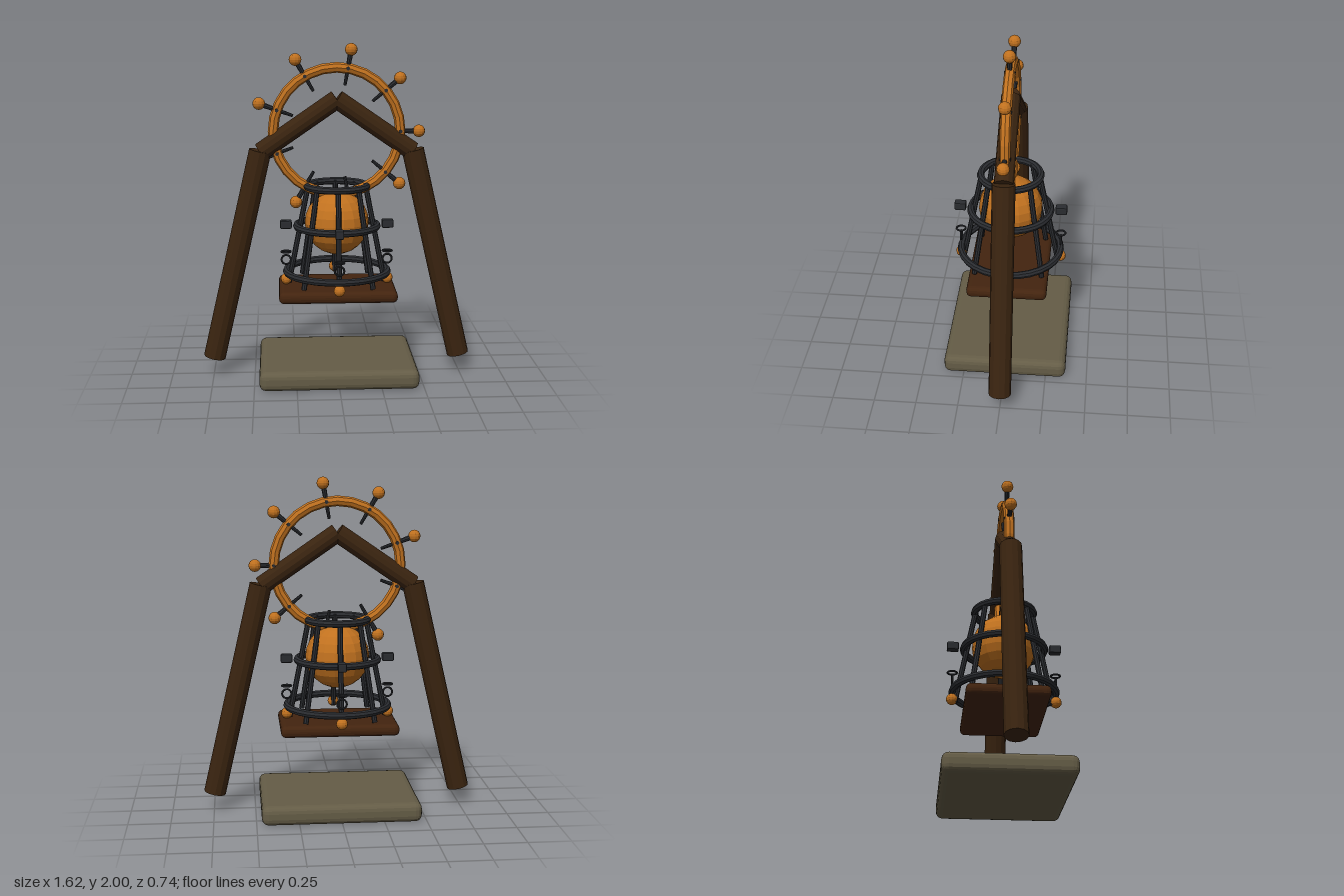
import * as THREE from 'three';
import { RoundedBoxGeometry } from 'three/addons/geometries/RoundedBoxGeometry.js';

const mat = (name, color, flatShading = true) => {
  const m = new THREE.MeshStandardMaterial({ color, flatShading });
  m.name = name;
  return m;
};

export function createModel() {
  const timber = mat('dark timber', 0x3a2410);
  const plank = mat('brown plank', 0x43240f);
  const stone = mat('grey stone', 0x645c46);
  const iron = mat('black iron', 0x2a2c30);
  const brass = mat('orange brass', 0xc0711f);

  const model = new THREE.Group();
  model.name = 'wheelFrameWithCage';
  const V = (x, y, z = 0) => new THREE.Vector3(x, y, z);

  const add = (name, geo, material, pos = V(0, 0), parent = model) => {
    const mesh = new THREE.Mesh(geo, material);
    mesh.name = name;
    mesh.position.copy(pos);
    parent.add(mesh);
    return mesh;
  };

  // Round bar from a to b
  const rod = (name, a, b, ra, rb, sides, material, parent = model) => {
    const d = b.clone().sub(a);
    const mesh = add(name, new THREE.CylinderGeometry(rb, ra, d.length(), sides), material,
      a.clone().add(b).multiplyScalar(0.5), parent);
    mesh.quaternion.setFromUnitVectors(V(0, 1), d.normalize());
    return mesh;
  };

  const ring = (name, R, r, material, pos, parent, flat) => {
    const mesh = add(name, new THREE.TorusGeometry(R, r, 8, R > 0.1 ? 28 : 14), material, pos, parent);
    if (flat) mesh.rotation.x = Math.PI / 2;
    return mesh;
  };

  // Slabs
  add('base', new RoundedBoxGeometry(0.94, 0.115, 0.74, 2, 0.04), stone, V(0, 0.0575));
  add('platform', new RoundedBoxGeometry(0.7, 0.07, 0.48, 2, 0.03), plank, V(0, 0.525));

  // Leaning posts and roof beams
  for (const s of [1, -1]) {
    const side = s > 0 ? 'left' : 'right';
    rod(side + 'Post', V(s * 0.745, 0.105), V(s * 0.453, 1.37), 0.066, 0.066, 12, timber);
    rod(side + 'Beam', V(s * 0.45, 1.362), V(0, 1.672), 0.056, 0.056, 12, timber);
  }

  // Wheel with nine handles
  const wheel = new THREE.Group();
  wheel.name = 'wheel';
  wheel.position.y = 1.482;
  model.add(wheel);
  ring('rim', 0.376, 0.031, brass, V(0, 0), wheel);
  for (let i = 0; i < 9; i++) {
    const a = i * Math.PI * 2 / 9;
    const at = r => V(Math.cos(a) * r, Math.sin(a) * r);
    rod('spoke', at(0.275), at(0.47), 0.009, 0.016, 8, iron, wheel);
    add('rimPin', new THREE.CylinderGeometry(0.011, 0.011, 0.064, 8), iron, at(0.376), wheel).rotation.x = Math.PI / 2;
    add('handleKnob', new THREE.SphereGeometry(0.037, 12, 8), brass, at(0.487), wheel);
  }

  // Cage around the ball
  const cage = new THREE.Group();
  cage.name = 'cage';
  model.add(cage);
  add('ball', new THREE.SphereGeometry(0.192, 18, 12), brass, V(0, 0.935), cage);
  ring('topRing', 0.178, 0.022, iron, V(0, 1.156), cage, true);
  ring('middleRing', 0.241, 0.022, iron, V(0, 0.915), cage, true);
  ring('bottomRing', 0.304, 0.022, iron, V(0, 0.638), cage, true);
  for (let i = 0; i < 8; i++) {
    const a = i * Math.PI / 4;
    const at = (r, y) => V(Math.cos(a) * r, y, Math.sin(a) * r);
    rod('cageBar', at(0.288, 0.57), at(0.17, 1.165), 0.016, 0.016, 8, iron, cage);
    if (i % 2) continue;
    // Lug, links and knob on each of the four sides
    const lug = add('lug', new RoundedBoxGeometry(0.07, 0.05, 0.05, 1, 0.008), iron, at(0.305, 0.925), cage);
    lug.rotation.y = -a;
    ring('flatLink', 0.028, 0.006, iron, at(0.305, 0.757), cage, true);
    ring('hangingLink', 0.028, 0.006, iron, at(0.305, 0.708), cage);
    add('footKnob', new THREE.SphereGeometry(0.034, 12, 8), brass, at(0.305, 0.59), cage);
  }

  return model;
}
